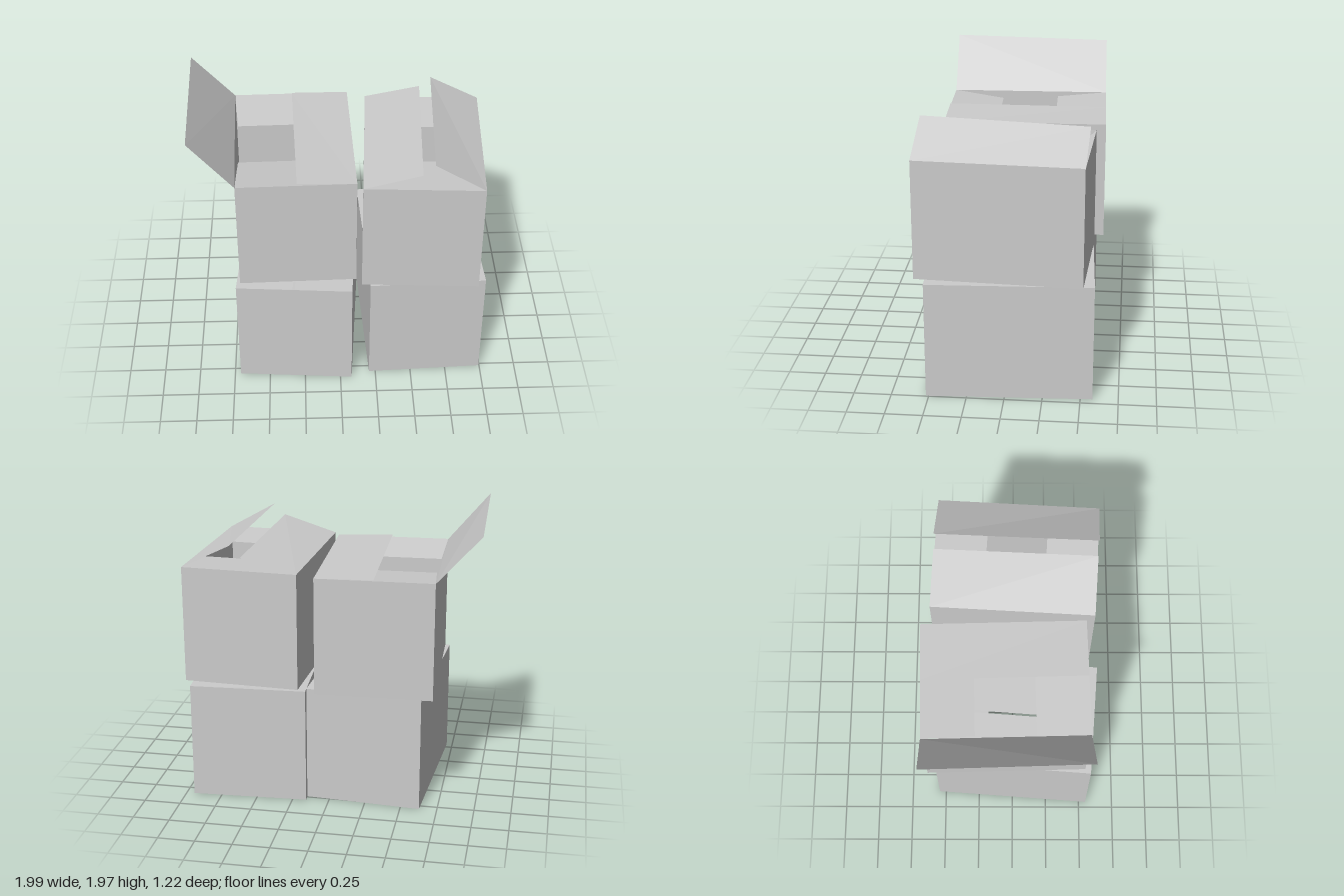
import * as THREE from 'three';

const W = 0.79, L = 1.1, H = 0.805; // carton width, depth and height
const material = new THREE.MeshStandardMaterial({
  color: 0xcccccc, flatShading: true, side: THREE.DoubleSide,
});

// Thin four-cornered cardboard sheet, corners in counter-clockwise order
function sheet(name, corners) {
  const geometry = new THREE.BufferGeometry();
  geometry.setAttribute('position', new THREE.Float32BufferAttribute(corners.flat(), 3));
  geometry.setIndex([0, 1, 2, 0, 2, 3]);
  geometry.computeVertexNormals();
  const mesh = new THREE.Mesh(geometry, material);
  mesh.name = name;
  return mesh;
}

// Open-bottomed carton. Long flaps: [inward reach, rise at front, rise at back].
// End flaps: [inward reach, rise].
function carton({ name, at, turn, left, right, front, back }) {
  const box = new THREE.Group();
  box.name = name;
  box.position.set(...at);
  box.rotation.y = turn;
  const x = W / 2, z = L / 2, taper = 0.02;

  // Four walls
  const ring = [[-x, z], [x, z], [x, -z], [-x, -z]];
  ['frontWall', 'leftWall', 'backWall', 'rightWall'].forEach((wall, i) => {
    const [ax, az] = ring[i], [bx, bz] = ring[(i + 1) % 4];
    box.add(sheet(wall, [[ax, 0, az], [bx, 0, bz], [bx, H, bz], [ax, H, az]]));
  });

  // Long flaps hinged on the side walls, slightly twisted
  for (const [flap, s, [reach, riseFront, riseBack]] of [['leftFlap', 1, left], ['rightFlap', -1, right]]) {
    const c = [
      [s * x, H, z], [s * x, H, -z],
      [s * (x - reach), H + riseBack, -z], [s * (x - reach), H + riseFront, z],
    ];
    box.add(sheet(flap, s > 0 ? c : c.reverse()));
  }

  // Tapered end flaps folded in under the long ones
  for (const [flap, s, [reach, rise]] of [['frontFlap', 1, front], ['backFlap', -1, back]]) {
    const c = [
      [-x, H, s * z], [x, H, s * z],
      [x - taper, H + rise, s * (z - reach)], [-x + taper, H + rise, s * (z - reach)],
    ];
    box.add(sheet(flap, s > 0 ? c : c.reverse()));
  }
  return box;
}

export function createModel() {
  const model = new THREE.Group();
  model.name = 'stackedCartons';
  const upper = 0.817;
  const cartons = [
    // Closed bottom row
    { name: 'lowerRightCarton', at: [-0.275, 0, 0.03], turn: -0.073,
      left: [0.39, 0.004, 0.004], right: [0.385, 0.003, 0.005],
      front: [0.35, -0.02], back: [0.35, -0.02] },
    { name: 'lowerLeftCarton', at: [0.575, 0, -0.013], turn: 0.045,
      left: [0.385, 0.004, 0.008], right: [0.385, 0.004, 0.004],
      front: [0.35, -0.02], back: [0.35, -0.02] },
    // Half-open top row
    { name: 'upperRightCarton', at: [-0.3, upper, -0.05], turn: 0.027,
      left: [0.39, 0.015, 0.006], right: [-0.29, 0.345, 0.32],
      front: [0.35, -0.05], back: [0.35, -0.03] },
    { name: 'upperLeftCarton', at: [0.57, upper, 0.02], turn: -0.0545,
      left: [0.335, 0.192, 0.165], right: [0.38, 0.113, 0.09],
      front: [0.345, -0.02], back: [0.35, -0.02] },
  ];
  cartons.forEach((spec) => model.add(carton(spec)));
  return model;
}
